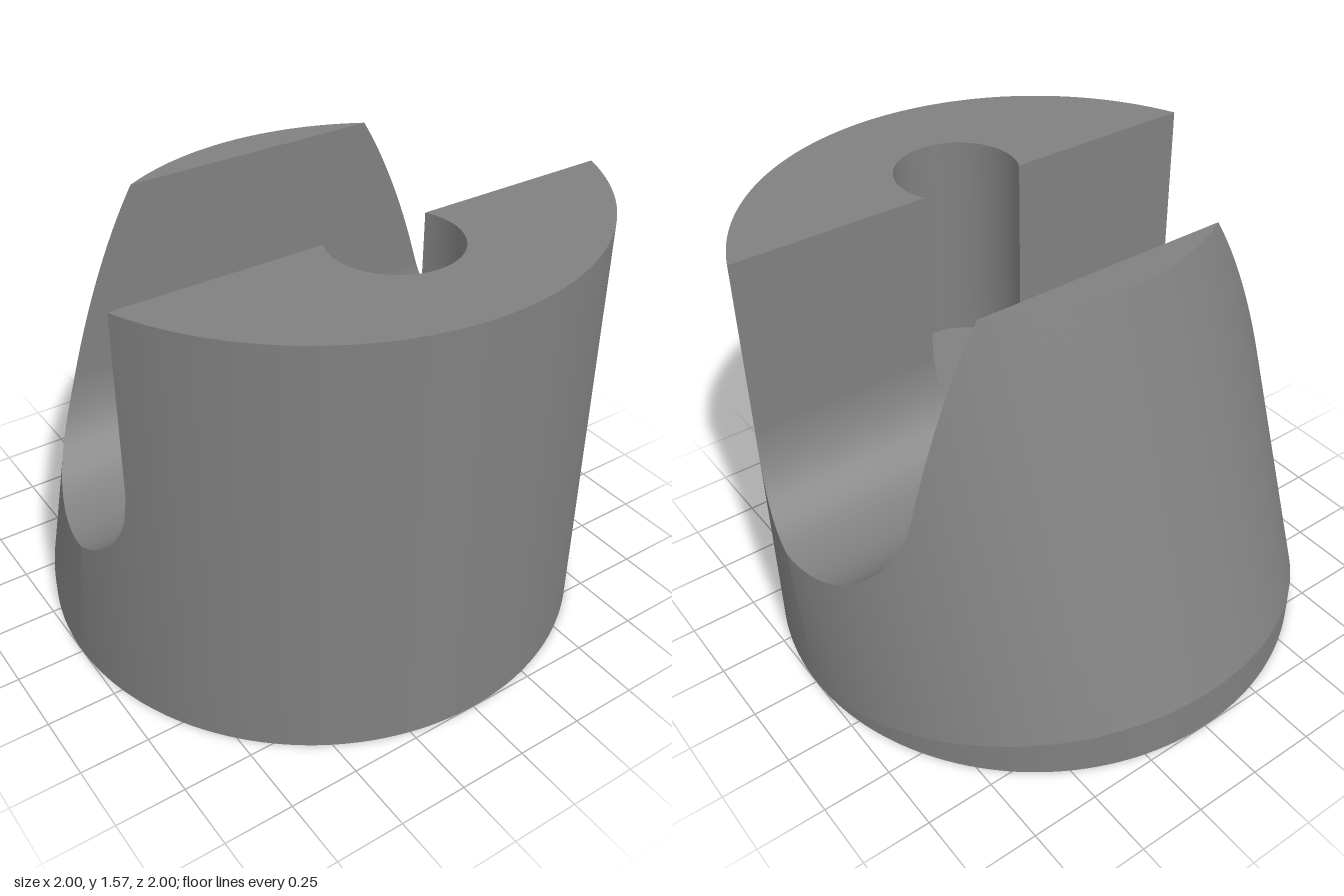
import * as THREE from 'three';

// Round body: upright cylinder cut by an equal cylinder leaning 20 degrees, with a U slot across it
const H = 1.57, R = 0.36, SLOT_Y = 0.91;            // height, slot radius, slot axis height
const HOLE = 0.223, POCKET_Z = 0.46, FLOOR = 0.76;  // bore radius, pocket centre and floor
const TILT = THREE.MathUtils.degToRad(20);
const C = Math.cos(TILT), S = Math.sin(TILT), T20 = Math.tan(TILT), T10 = Math.tan(TILT / 2);
const PI = Math.PI;

const root = (v) => Math.sqrt(Math.max(0, v));
const slotY = (z) => SLOT_Y - root(R * R - z * z);
const lean = (y, z) => z * C - y * S;
const halfWidth = (y, z) => root(1 - Math.max(z * z, lean(y, z) ** 2));
const boreX = (z) => root(HOLE * HOLE - z * z);
const pocketX = (z) => boreX(z - POCKET_Z);

// Height at which a line of the leaning cylinder meets the top, the slot or the upright wall
function leanEnd(v) {
  const y0 = -v * T10;
  const zAt = (y) => v + (y - y0) * T20;
  const blocked = (y) => {
    const z = zAt(y);
    return z > -v || (Math.abs(z) < R && y > slotY(z));
  };
  let lo = y0, hi = H;
  if (!blocked(H)) lo = H;
  else for (let i = 0; i < 50; i++) {
    const mid = (lo + hi) / 2;
    if (blocked(mid)) hi = mid; else lo = mid;
  }
  return [lo, zAt(lo)];
}

// Ruled surface between curves a(u) and b(u), built for +x and mirrored to -x
function ruled(n, from, to, a, b, normalAt) {
  const pos = [], nor = [], idx = [];
  const p = [0, 1, 2].map(() => new THREE.Vector3());
  for (const side of [1, -1]) {
    const base = pos.length / 3;
    for (let i = 0; i <= n; i++) {
      const u = from + (to - from) * i / n;
      for (const q of [a(u), b(u)]) {
        const m = new THREE.Vector3(...normalAt(...q)).normalize();
        pos.push(side * q[0], q[1], q[2]);
        nor.push(side * m.x, m.y, m.z);
      }
    }
    for (let i = 0; i < n; i++) {
      const k = base + 2 * i;
      for (const tri of [[k, k + 2, k + 1], [k + 1, k + 2, k + 3]]) {
        tri.forEach((t, j) => p[j].fromArray(pos, 3 * t));
        const face = p[1].clone().sub(p[0]).cross(p[2].clone().sub(p[0]));
        if (face.lengthSq() < 1e-16) continue;
        const mean = new THREE.Vector3();
        tri.forEach((t) => mean.add(new THREE.Vector3().fromArray(nor, 3 * t)));
        if (face.dot(mean) < 0) tri.reverse();
        idx.push(...tri);
      }
    }
  }
  const g = new THREE.BufferGeometry();
  g.setAttribute('position', new THREE.Float32BufferAttribute(pos, 3));
  g.setAttribute('normal', new THREE.Float32BufferAttribute(nor, 3));
  g.setIndex(idx);
  return g;
}

export function createModel() {
  const group = new THREE.Group();
  group.name = 'slottedBlock';
  const grey = new THREE.MeshStandardMaterial({ color: 0x808080, side: THREE.DoubleSide });
  grey.name = 'grey';
  const add = (name, ...args) => {
    const mesh = new THREE.Mesh(ruled(...args), grey);
    mesh.name = name;
    group.add(mesh);
  };
  // z spaced closely at both ends, for outlines that round off there
  const ease = (z0, z1) => (t) => z0 + (z1 - z0) * (1 - Math.cos(PI * t)) / 2;

  const up = () => [0, 1, 0], down = () => [0, -1, 0];
  const outward = (x, y, z) => [x, 0, z];
  const leanOut = (x, y, z) => [x, -lean(y, z) * S, lean(y, z) * C];
  const inSlot = (x, y, z) => [0, SLOT_Y - y, -z];
  const inBore = (x, y, z) => [-x, 0, -z];
  const inPocket = (x, y, z) => [-x, 0, POCKET_Z - z];

  // Where the upright and leaning walls meet at the slot edge
  let zMeet = 0.1;
  for (let i = 0; i < 20; i++) zMeet = slotY(zMeet) * T10;

  // Upright outer wall
  const wall = (name, n, z0, z1, top) => add(name, n, Math.acos(z0), Math.acos(z1),
    (u) => [Math.sin(u), 0, Math.cos(u)],
    (u) => [Math.sin(u), top(Math.cos(u)), Math.cos(u)], outward);
  wall('frontWall', 48, 1, R, () => H);
  wall('sideWall', 16, R, zMeet, slotY);
  wall('sideWallLower', 6, zMeet, 0, (z) => z / T10);
  wall('backFootWall', 64, 0, -1, (z) => -z * T10);

  // Leaning back wall
  const stops = [0, -zMeet, -R * C - SLOT_Y * S, -R * C - H * S, -1].map((v) => Math.acos(v));
  for (let i = 0; i < 4; i++) {
    add('leaningBackWall', 28, stops[i], stops[i + 1],
      (u) => [Math.sin(u), -Math.cos(u) * T10, Math.cos(u)],
      (u) => [Math.sin(u), ...leanEnd(Math.cos(u))], leanOut);
  }

  // Rounded slot bottom, open at the bore and the pocket
  const pocketEdge = root(R * R - (SLOT_Y - FLOOR) ** 2);
  const none = () => 0;
  for (const [z0, z1, gap] of [[-R, -HOLE, none], [-HOLE, HOLE, boreX],
    [HOLE, pocketEdge, none], [pocketEdge, R, pocketX]]) {
    const z = ease(z0, z1);
    add('slotBottom', 36, 0, 1,
      (t) => [gap(z(t)), slotY(z(t)), z(t)],
      (t) => [halfWidth(slotY(z(t)), z(t)), slotY(z(t)), z(t)], inSlot);
  }

  // Straight slot sides
  add('slotFrontSide', 1, SLOT_Y, H,
    (y) => [pocketX(R), y, R], (y) => [halfWidth(y, R), y, R], () => [0, 0, -1]);
  add('slotBackSide', 24, SLOT_Y, H,
    (y) => [0, y, -R], (y) => [halfWidth(y, -R), y, -R], () => [0, 0, 1]);

  // Top faces
  const pocketEnd = POCKET_Z + HOLE;
  for (const [z0, z1, gap] of [[R, pocketEnd, pocketX], [pocketEnd, 1, none]]) {
    const z = ease(z0, z1);
    add('frontTop', 32, 0, 1, (t) => [gap(z(t)), H, z(t)],
      (t) => [halfWidth(H, z(t)), H, z(t)], up);
  }
  const zBack = ease(H * T20 - 1 / C, -R);
  add('backTop', 32, 0, 1, (t) => [0, H, zBack(t)],
    (t) => [halfWidth(H, zBack(t)), H, zBack(t)], up);

  // Underside ring and through bore
  add('underside', 64, 0, PI, (u) => [HOLE * Math.sin(u), 0, HOLE * Math.cos(u)],
    (u) => [Math.sin(u), 0, Math.cos(u)], down);
  add('bore', 40, 0, PI, (u) => [HOLE * Math.sin(u), 0, HOLE * Math.cos(u)],
    (u) => [HOLE * Math.sin(u), slotY(HOLE * Math.cos(u)), HOLE * Math.cos(u)], inBore);

  // Flat-bottomed pocket in the front block
  const px = (u) => HOLE * Math.sin(u), pz = (u) => POCKET_Z + HOLE * Math.cos(u);
  const uSide = Math.acos((R - POCKET_Z) / HOLE), uEdge = Math.acos((pocketEdge - POCKET_Z) / HOLE);
  add('pocketWall', 36, 0, uSide, (u) => [px(u), FLOOR, pz(u)], (u) => [px(u), H, pz(u)], inPocket);
  add('pocketLip', 8, uSide, uEdge, (u) => [px(u), FLOOR, pz(u)],
    (u) => [px(u), slotY(pz(u)), pz(u)], inPocket);
  add('pocketFloor', 36, 0, uEdge, (u) => [0, FLOOR, pz(u)], (u) => [px(u), FLOOR, pz(u)], up);

  return group;
}
